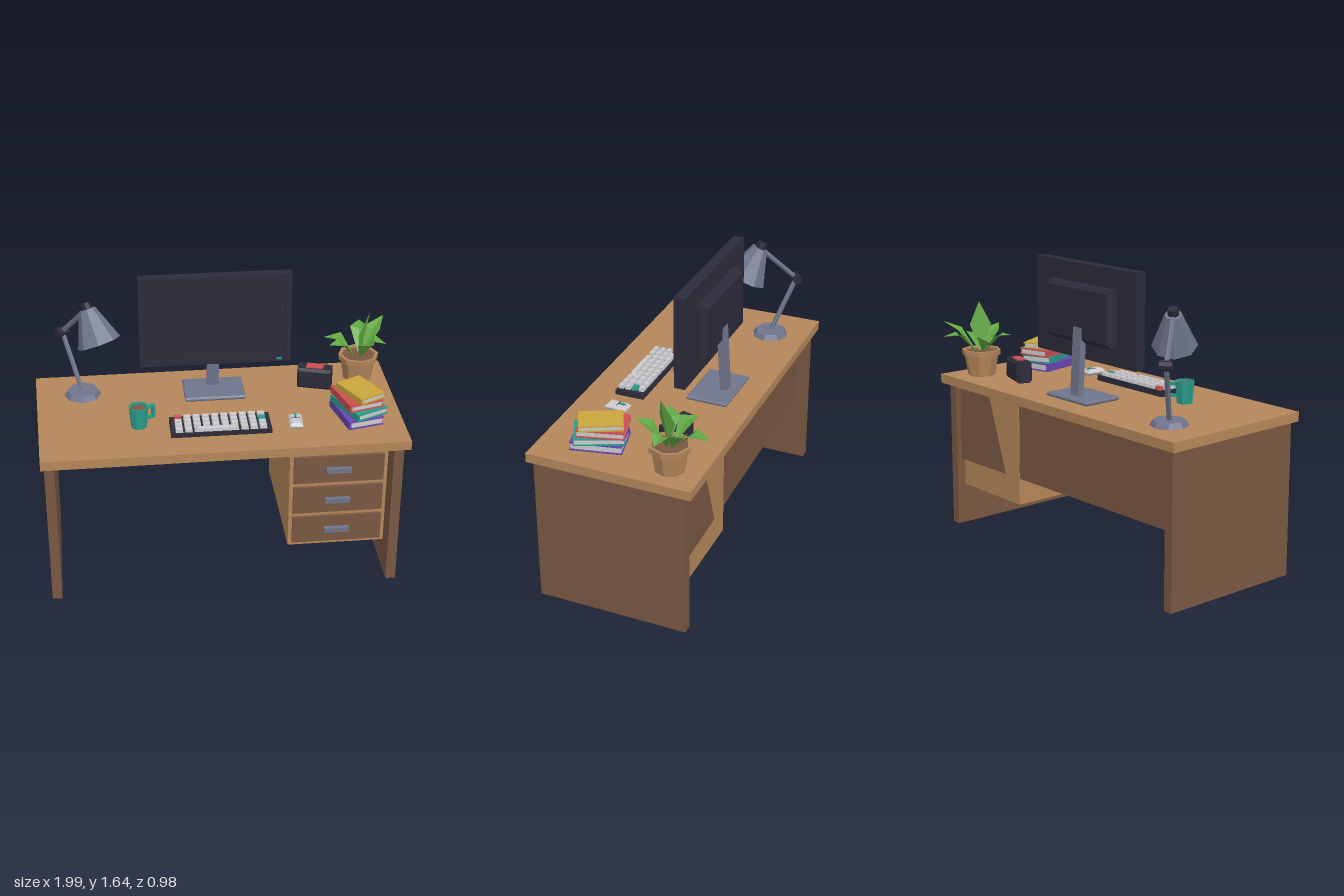
import * as THREE from 'three';

const mat = (name, color, side = THREE.FrontSide) =>
  new THREE.MeshStandardMaterial({ name, color, side, flatShading: true });
const M = {
  wood: mat('lightWood', 0xb5875a),
  dark: mat('darkWood', 0x7a5742),
  navy: mat('darkPlastic', 0x2c2b3a),
  metal: mat('blueGreyMetal', 0x70758c),
  teal: mat('teal', 0x2a9d8c),
  red: mat('red', 0xcc4f4e),
  yellow: mat('yellow', 0xc9a63c, THREE.DoubleSide),
  purple: mat('purple', 0x6a45b0),
  paper: mat('paper', 0xcacacd),
  green: mat('leafGreen', 0x62a844, THREE.DoubleSide),
};
const V = (x, y, z) => new THREE.Vector3(x, y, z);

function add(parent, name, geo, material, x = 0, y = 0, z = 0) {
  const m = new THREE.Mesh(geo, material);
  m.name = name;
  m.position.set(x, y, z);
  parent.add(m);
  return m;
}
// box given by its min and max on each axis
function box(parent, name, material, [x0, x1], [y0, y1], [z0, z1]) {
  return add(parent, name, new THREE.BoxGeometry(x1 - x0, y1 - y0, z1 - z0), material,
    (x0 + x1) / 2, (y0 + y1) / 2, (z0 + z1) / 2);
}
function group(parent, name, x = 0, y = 0, z = 0, ry = 0) {
  const g = new THREE.Group();
  g.name = name;
  g.position.set(x, y, z);
  g.rotation.y = ry;
  parent.add(g);
  return g;
}
// cylinder from point a (radius ra) to point b (radius rb)
function rod(parent, name, material, a, b, ra, rb = ra, sides = 6, open = false) {
  const d = b.clone().sub(a);
  const m = add(parent, name, new THREE.CylinderGeometry(rb, ra, d.length(), sides, 1, open), material);
  m.position.copy(a).addScaledVector(d, 0.5);
  m.quaternion.setFromUnitVectors(V(0, 1, 0), d.normalize());
  return m;
}
function rect(S, w, h) {
  const s = new S();
  s.moveTo(-w / 2, -h / 2).lineTo(w / 2, -h / 2).lineTo(w / 2, h / 2).lineTo(-w / 2, h / 2).closePath();
  return s;
}
// box with chamfered edges, centred on the origin
function chamferBox(w, h, d, c) {
  const g = new THREE.ExtrudeGeometry(rect(THREE.Shape, w - 2 * c, h - 2 * c),
    { depth: d - 2 * c, bevelThickness: c, bevelSize: c, bevelSegments: 1 });
  return g.translate(0, 0, c - d / 2);
}

const TOP = 0.905;

function buildDesk(root) {
  const desk = group(root, 'desk');
  // slightly skewed, hand-cut top
  const top = box(desk, 'deskTop', M.wood, [-0.986, 0.983], [0.853, TOP], [-0.428, 0.485]);
  const p = top.geometry.attributes.position;
  for (let i = 0; i < p.count; i++) {
    const sx = Math.sign(p.getX(i)), sz = Math.sign(p.getZ(i));
    p.setZ(i, p.getZ(i) - 0.006 * sx);
    if (sx < 0) p.setX(i, p.getX(i) + 0.011 * sz);
  }
  box(desk, 'rightSidePanel', M.dark, [-0.957, -0.904], [0, 0.855], [-0.392, 0.453]);
  box(desk, 'leftSidePanel', M.dark, [0.898, 0.952], [0, 0.855], [-0.392, 0.453]);
  const back = box(desk, 'modestyPanel', M.dark, [-0.91, 0.905], [0.398, 0.835], [-0.344, -0.309]);
  back.rotation.set(0.007, 0.02, 0);

  // drawer cabinet
  box(desk, 'drawerCabinet', M.wood, [0.343, 0.874], [0.245, 0.855], [-0.355, 0.42]);
  [0.73, 0.54, 0.35].forEach((y) => {
    box(desk, 'drawerFront', M.dark, [0.364, 0.852], [y - 0.081, y + 0.081], [0.41, 0.437]);
    box(desk, 'drawerHandle', M.metal, [0.537, 0.672], [y - 0.012, y + 0.015], [0.43, 0.461]);
  });
}

function buildMonitor(root) {
  const g = group(root, 'monitor');
  box(g, 'monitorBody', M.navy, [-0.417, 0.412], [1.117, 1.638], [-0.158, -0.106]);
  const frame = rect(THREE.Shape, 0.829, 0.521);
  frame.holes.push(rect(THREE.Path, 0.765, 0.457));
  add(g, 'bezel', new THREE.ExtrudeGeometry(frame, { depth: 0.01, bevelEnabled: false }), M.navy, -0.0025, 1.3775, -0.107);
  box(g, 'powerLight', M.teal, [0.334, 0.362], [1.126, 1.142], [-0.1, -0.094]);
  add(g, 'backHousing', chamferBox(0.53, 0.315, 0.08, 0.022), M.navy, -0.003, 1.373, -0.173);
  const neck = box(g, 'standNeck', M.metal, [-0.04, 0.027], [0.915, 1.3], [-0.228, -0.19]);
  neck.rotation.x = 0.06;
  const base = add(g, 'standBase', chamferBox(0.337, 0.234, 0.024, 0.008), M.metal, -0.005, TOP + 0.011, -0.177);
  base.rotation.x = -Math.PI / 2;
}

function buildLamp(root) {
  const g = group(root, 'lamp');
  const elbow = V(-0.83, 1.245, -0.325), head = V(-0.69, 1.46, -0.15), rim = V(-0.633, 1.285, -0.085);
  add(g, 'lampBase', new THREE.CylinderGeometry(0.085, 0.103, 0.03, 8), M.metal, -0.735, TOP + 0.015, -0.21);
  rod(g, 'lowerArm', M.metal, V(-0.735, 0.92, -0.21), elbow, 0.014);
  rod(g, 'upperArm', M.metal, elbow, head, 0.014);
  const side = V(0.026, 0, -0.02);
  rod(g, 'elbowJoint', M.navy, elbow.clone().sub(side), elbow.clone().add(side), 0.027, 0.027, 8);
  // shade with coloured lining
  rod(g, 'lampShade', M.metal, rim, head, 0.12, 0.045, 8, true);
  rod(g, 'shadeLining', M.yellow, rim, head, 0.116, 0.041, 8, true);
  const axis = head.clone().sub(rim).normalize();
  rod(g, 'shadeTop', M.metal, head.clone().addScaledVector(axis, -0.006), head, 0.046, 0.045, 8);
  rod(g, 'shadeCap', M.navy, head, head.clone().addScaledVector(axis, 0.035), 0.03, 0.027, 8);
}

function buildMug(root) {
  const g = group(root, 'mug', -0.443, TOP, 0.17, 0.5);
  const wall = [[0, 0], [0.044, 0], [0.054, 0.122], [0.046, 0.122], [0.044, 0.09]].map(([x, y]) => new THREE.Vector2(x, y));
  add(g, 'mugBody', new THREE.LatheGeometry(wall, 8), M.teal);
  add(g, 'coffee', new THREE.CylinderGeometry(0.046, 0.045, 0.01, 8), M.dark, 0, 0.102, 0);
  box(g, 'mugHandle', M.teal, [0.04, 0.1], [0.092, 0.108], [-0.009, 0.009]);
  box(g, 'mugHandle', M.teal, [0.04, 0.1], [0.028, 0.044], [-0.009, 0.009]);
  box(g, 'mugHandle', M.teal, [0.084, 0.1], [0.044, 0.092], [-0.009, 0.009]);
}

function buildKeyboard(root) {
  const g = group(root, 'keyboard', -0.01, TOP, 0.233);
  g.rotation.x = 0.05;
  box(g, 'keyboardBody', M.navy, [-0.27, 0.27], [-0.002, 0.03], [-0.083, 0.083]);
  const key = (x, z, w, m) => {
    const geo = new THREE.CylinderGeometry(0.6, Math.SQRT1_2, 1, 4).rotateY(Math.PI / 4).scale(w, 0.02, 0.031);
    add(g, 'key', geo, m, x, 0.039, z);
  };
  for (let r = 0; r < 4; r++) {
    const z = -0.06 + r * 0.04;
    for (let c = 0; c < 10; c++) {
      if (r === 3 && c > 1 && c < 7) continue;
      const m = r === 0 && c === 0 ? M.red : r === 1 && c === 9 ? M.teal : M.paper;
      key(-0.225 + c * 0.05, z, 0.041, m);
    }
  }
  key(-0.025, 0.06, 0.24, M.paper);
}

function buildMouse(root) {
  const g = group(root, 'mouse', 0.398, TOP, 0.235, -0.06);
  const body = add(g, 'mouseBody', chamferBox(0.072, 0.125, 0.035, 0.014), M.paper, 0, 0.0175, 0);
  body.rotation.x = -Math.PI / 2;
  box(g, 'buttonSplit', M.navy, [-0.002, 0.002], [0.03, 0.037], [-0.048, -0.005]);
  box(g, 'buttonLine', M.navy, [-0.022, 0.022], [0.03, 0.037], [-0.006, -0.002]);
  box(g, 'scrollWheel', M.teal, [-0.006, 0.006], [0.03, 0.042], [-0.038, -0.016]);
}

function buildBooks(root) {
  const g = group(root, 'bookStack');
  // colour, width, depth, bottom, top, turn, x, z
  [
    [M.purple, 0.2, 0.275, 0.905, 0.951, 0.22, 0.74, 0.175],
    [M.teal, 0.19, 0.265, 0.951, 0.991, 0.42, 0.752, 0.17],
    [M.red, 0.195, 0.25, 0.991, 1.031, 0.27, 0.742, 0.153],
    [M.yellow, 0.155, 0.23, 1.031, 1.065, 0.46, 0.76, 0.155],
  ].forEach(([m, w, d, y0, y1, turn, x, z]) => {
    const b = group(g, 'book', x, y0, z, turn);
    const h = y1 - y0, t = 0.007, hw = w / 2, hd = d / 2;
    box(b, 'bottomCover', m, [-hw, hw], [0, t], [-hd, hd]);
    box(b, 'topCover', m, [-hw, hw], [h - t, h], [-hd, hd]);
    box(b, 'spine', m, [-hw, -hw + 0.012], [t, h - t], [-hd, hd]);
    box(b, 'pages', M.paper, [-hw + 0.012, hw - 0.006], [t, h - t], [-hd + 0.006, hd - 0.006]);
  });
}

function buildDeskBox(root) {
  const g = group(root, 'deskBox', 0.567, TOP, -0.178, -0.3);
  add(g, 'boxBody', chamferBox(0.19, 0.122, 0.095, 0.014), M.navy, 0, 0.061, 0);
  box(g, 'redTopPlate', M.red, [-0.047, 0.047], [0.12, 0.128], [-0.026, 0.026]);
}

function buildPlant(root) {
  const g = group(root, 'pottedPlant', 0.825, TOP, -0.256);
  const prof = [[0, 0], [0.08, 0], [0.099, 0.118], [0.112, 0.12], [0.114, 0.15], [0.097, 0.15], [0.094, 0.125]];
  add(g, 'pot', new THREE.LatheGeometry(prof.map(([x, y]) => new THREE.Vector2(x, y)), 8), M.wood);
  add(g, 'soil', new THREE.CylinderGeometry(0.096, 0.094, 0.01, 8), M.dark, 0, 0.133, 0);
  // folded kite leaves: tip position, half width, arch
  [
    [0.05, 0.42, 0.026, 0.062, 0],
    [0.045, 0.245, -0.235, 0.052, 0.05],
    [0.165, 0.31, -0.15, 0.05, 0.03],
    [0.155, 0.21, 0.02, 0.05, 0.06],
    [0.045, 0.28, 0.165, 0.055, 0.03],
    [-0.185, 0.25, 0.08, 0.05, 0.04],
    [-0.19, 0.225, -0.075, 0.05, 0.05],
  ].forEach(([x, y, z, w, arch]) => {
    const tip = V(x, y, z), base = V(x * 0.12, 0.135, z * 0.12);
    const mid = base.clone().lerp(tip, 0.5).add(V(0, arch, 0));
    const out = V(-z, 0, x).normalize().multiplyScalar(w);
    const lift = V(0, 0.015, 0).addScaledVector(V(x, 0, z), arch ? 0 : -0.3);
    const a = mid.clone().add(out).add(lift), b = mid.clone().sub(out).add(lift);
    const geo = new THREE.BufferGeometry().setFromPoints([
      base, mid, a, mid, tip, a, base, b, mid, mid, b, tip]);
    geo.computeVertexNormals();
    add(g, 'leaf', geo, M.green);
  });
}

export function createModel() {
  const root = new THREE.Group();
  root.name = 'deskWorkspace';
  [buildDesk, buildMonitor, buildLamp, buildMug, buildKeyboard, buildMouse,
    buildBooks, buildDeskBox, buildPlant].forEach((build) => build(root));
  return root;
}
